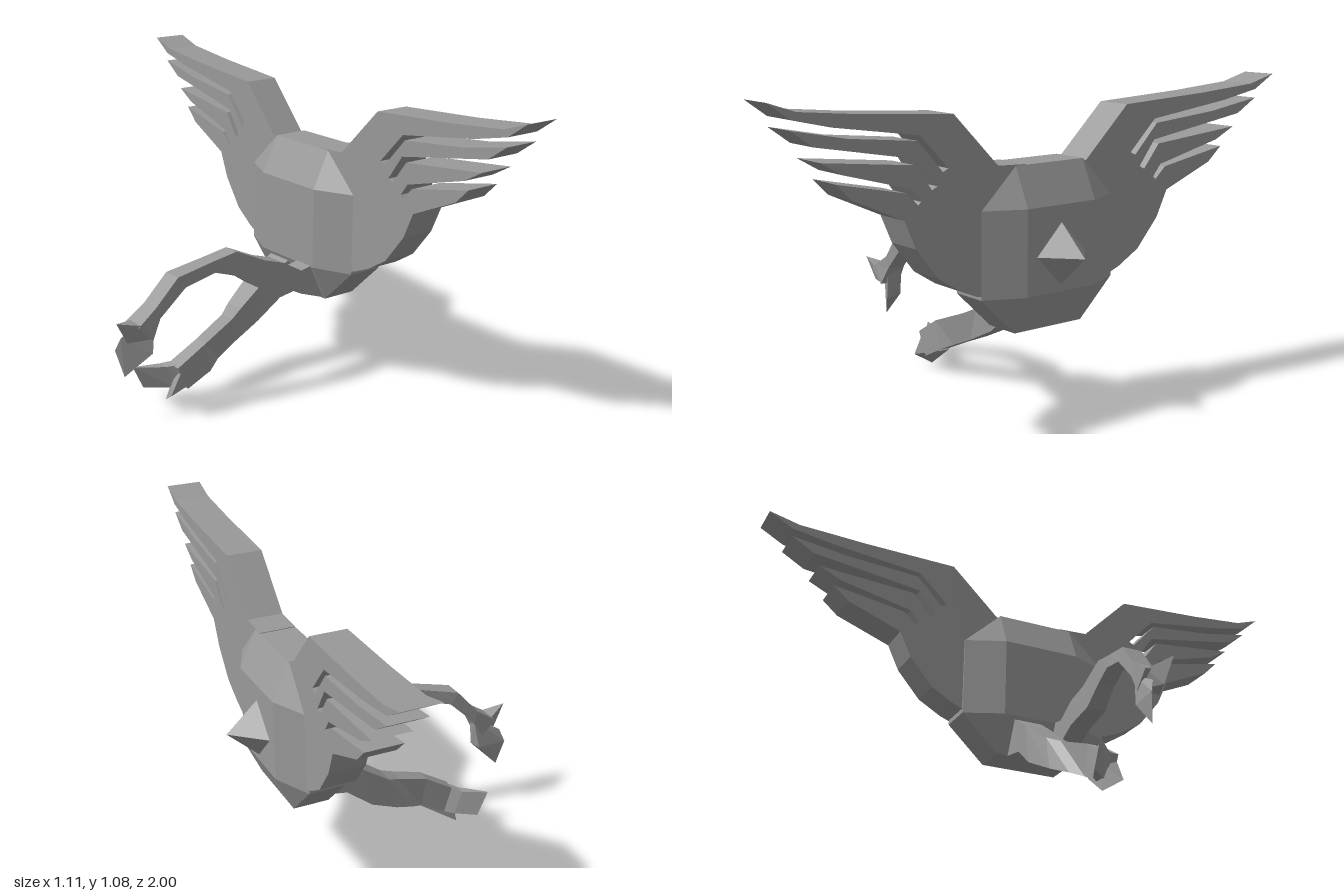
import * as THREE from 'three';
import { ConvexGeometry } from 'three/addons/geometries/ConvexGeometry.js';

const grey = new THREE.MeshStandardMaterial({ color: 0x999999 });
grey.name = 'grey';
grey.flatShading = true;

function part(name, geometry) {
  const mesh = new THREE.Mesh(geometry, grey);
  mesh.name = name;
  return mesh;
}

// Chamfered box: one small rectangle per side, joined by sloping faces
function bodyGeometry() {
  const points = [];
  const inner = [0.0625, 0.14, 0.14], outer = [0.1225, 0.268, 0.275];
  for (let axis = 0; axis < 3; axis++)
    for (const a of [-1, 1]) for (const b of [-1, 1]) for (const c of [-1, 1]) {
      const p = [a, b, c].map((s, i) => s * (i === axis ? outer[i] : inner[i]));
      points.push(new THREE.Vector3(0.3225 + p[0], 0.565 + p[1], p[2]));
    }
  return new ConvexGeometry(points);
}

// Wing outline as [distance from the middle, height], with slits between four feathers
const wingOutline = [
  [0.1, 0.835], [0.21, 0.84], [0.38, 1.01], [0.7, 1.03], [0.91, 1.05],
  [1, 1.08], [0.93, 1.03], [0.8, 1.0], [0.5, 0.955], [0.4, 0.85],
  [0.42, 0.84], [0.51, 0.94], [0.75, 0.965], [0.93, 1.0], [0.86, 0.95], [0.5, 0.885], [0.44, 0.8],
  [0.46, 0.79], [0.52, 0.87], [0.84, 0.905], [0.77, 0.865], [0.53, 0.8], [0.5, 0.76],
  [0.51, 0.75], [0.55, 0.79], [0.79, 0.84], [0.74, 0.79], [0.56, 0.71],
  [0.52, 0.62], [0.44, 0.52], [0.36, 0.47], [0.29, 0.44], [0.15, 0.42],
];

function wingGeometry(side) {
  // The far wing sits slightly closer in and sweeps outward along x
  const far = side < 0;
  const outline = wingOutline.map(([z, y]) => far
    ? new THREE.Vector2(-(z - 0.055 * (1 - z ** 4)), y - 0.015)
    : new THREE.Vector2(z, y));
  const geometry = new THREE.ExtrudeGeometry(new THREE.Shape(outline),
    { depth: 0.125, bevelEnabled: false });
  geometry.rotateY(-Math.PI / 2).translate(0.385, 0, 0);
  if (far) {
    const pos = geometry.attributes.position;
    for (let i = 0; i < pos.count; i++) {
      const sweep = Math.max(0, (-pos.getZ(i) - 0.2) / 0.8);
      pos.setX(i, pos.getX(i) + 0.055 * sweep);
    }
    geometry.computeVertexNormals();
  }
  return geometry;
}

// Loft of four-sided sections: [top x, top y, bottom x, bottom y, z min, z max]
function loft(sections) {
  const rings = sections.map(([xt, yt, xb, yb, z0, z1]) =>
    [[xt, yt, z1], [xt, yt, z0], [xb, yb, z0], [xb, yb, z1]]);
  const out = [];
  const quad = (a, b, c, d) => out.push(...a, ...b, ...c, ...a, ...c, ...d);
  for (let i = 0; i < rings.length - 1; i++)
    for (let k = 0; k < 4; k++) {
      const n = (k + 1) % 4;
      quad(rings[i][k], rings[i][n], rings[i + 1][n], rings[i + 1][k]);
    }
  const [first, last] = [rings[0], rings[rings.length - 1]];
  quad(first[3], first[2], first[1], first[0]);
  quad(...last);
  const geometry = new THREE.BufferGeometry();
  geometry.setAttribute('position', new THREE.Float32BufferAttribute(out, 3));
  geometry.computeVertexNormals();
  return geometry;
}

function hull(points) {
  return new ConvexGeometry(points.map((p) => new THREE.Vector3(...p)));
}

export function createModel() {
  const model = new THREE.Group();
  model.name = 'wingedBody';

  model.add(part('body', bodyGeometry()));

  // Four-sided beak
  const beak = new THREE.ConeGeometry(0.11, 0.12, 4);
  beak.rotateZ(-Math.PI / 2).translate(0.495, 0.548, 0);
  model.add(part('beak', beak));

  model.add(part('leftWing', wingGeometry(1)), part('rightWing', wingGeometry(-1)));

  // Raised leg with two claws
  const upper = new THREE.Group();
  upper.name = 'upperLeg';
  upper.add(part('upperLegLimb', loft([
    [0.3, 0.45, 0.26, 0.3, 0.055, 0.13],
    [0.16, 0.42, 0.16, 0.335, 0.055, 0.13],
    [0.08, 0.465, 0.08, 0.375, 0.055, 0.13],
    [0, 0.49, -0.03, 0.4, 0.06, 0.13],
    [-0.11, 0.54, -0.11, 0.455, 0.06, 0.12],
    [-0.2, 0.52, -0.19, 0.48, 0.05, 0.11],
    [-0.33, 0.49, -0.3, 0.45, 0.03, 0.1],
    [-0.41, 0.4, -0.395, 0.36, 0.02, 0.09],
    [-0.485, 0.35, -0.43, 0.295, 0.02, 0.1],
  ])));
  upper.add(part('upperLongClaw', hull([
    [-0.47, 0.355, 0.03], [-0.47, 0.355, 0.1], [-0.43, 0.3, 0.03],
    [-0.43, 0.3, 0.1], [-0.51, 0.295, 0.07], [-0.555, 0.375, 0.08],
  ])));
  upper.add(part('upperLowClaw', hull([
    [-0.4, 0.36, 0.03], [-0.41, 0.36, 0.08], [-0.51, 0.3, 0.03], [-0.42, 0.24, 0.08],
    [-0.42, 0.25, 0.02], [-0.525, 0.255, 0.015], [-0.5, 0.16, 0.03],
  ])));
  model.add(upper);

  // Lowered leg with two claws
  const lower = new THREE.Group();
  lower.name = 'lowerLeg';
  lower.add(part('lowerLegLimb', loft([
    [0.3, 0.45, 0.26, 0.295, -0.1, 0],
    [0.2, 0.41, 0.17, 0.28, -0.1, 0],
    [0.11, 0.355, 0.08, 0.21, -0.105, -0.01],
    [0, 0.275, -0.03, 0.155, -0.08, -0.005],
    [-0.05, 0.25, -0.11, 0.12, -0.05, 0.01],
    [-0.18, 0.2, -0.16, 0.095, -0.02, 0.035],
    [-0.29, 0.135, -0.25, 0.05, -0.03, 0.03],
  ])));
  lower.add(part('lowerLongClaw', loft([
    [-0.28, 0.14, -0.25, 0.05, -0.03, 0.015],
    [-0.31, 0.13, -0.28, 0.047, -0.055, -0.015],
    [-0.395, 0.125, -0.355, 0.04, -0.092, -0.085],
  ])));
  lower.add(part('lowerShortClaw', hull([
    [-0.16, 0.09, 0.03], [-0.16, 0.09, -0.01], [-0.27, 0.13, 0.03],
    [-0.27, 0.1, -0.02], [-0.32, 0.04, 0.03], [-0.3, 0, -0.035],
  ])));
  model.add(lower);

  return model;
}
